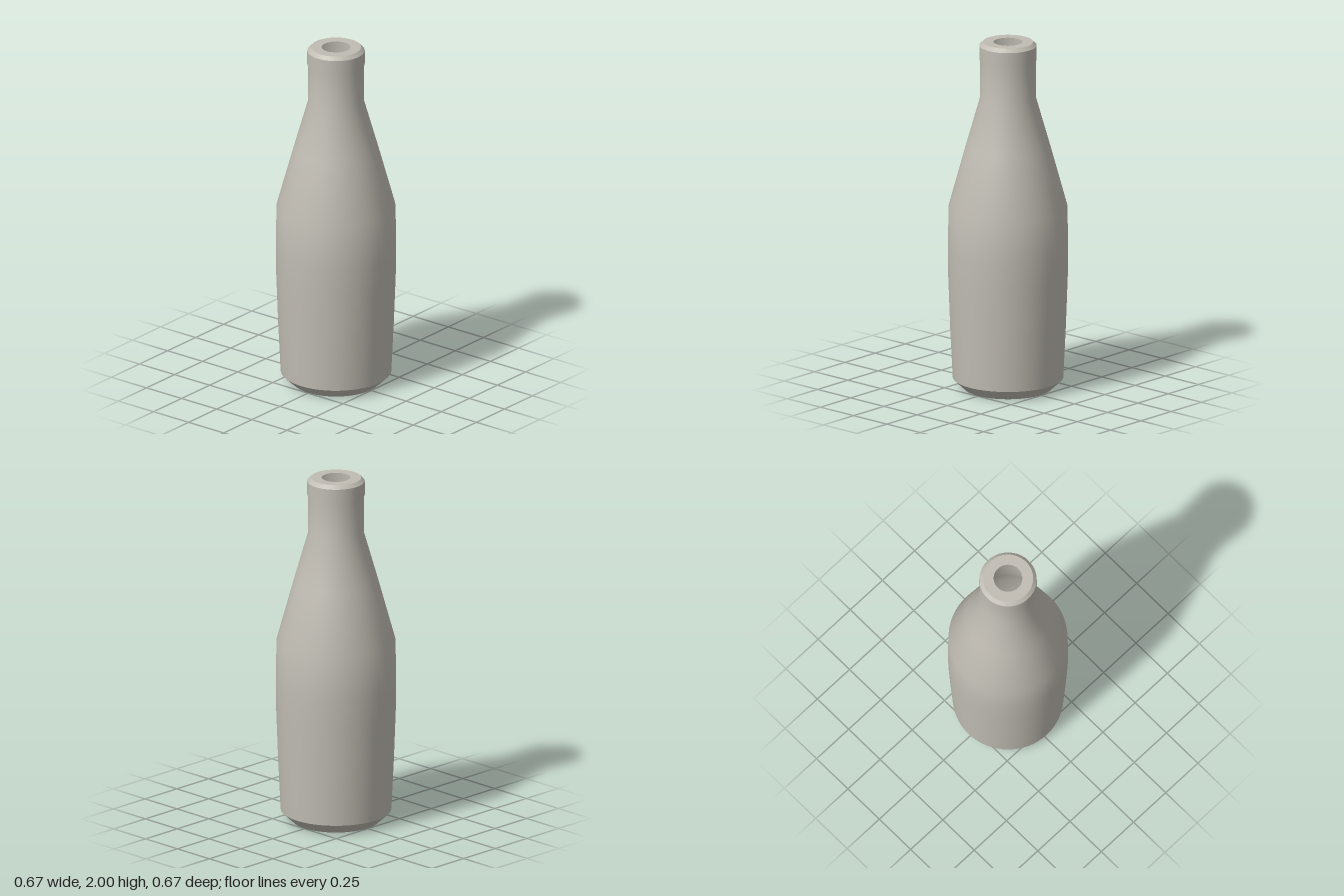
import * as THREE from 'three';

export function createModel() {
  const model = new THREE.Group();
  model.name = 'bottle';
  const warmGrey = new THREE.MeshStandardMaterial({ color: 0xc0bcb3, side: THREE.DoubleSide });
  warmGrey.name = 'warm grey';

  // Each smooth band is its own lathe, so the edges between bands stay sharp
  function band(name, profile) {
    const points = profile.map(([r, y]) => new THREE.Vector2(r, y));
    const mesh = new THREE.Mesh(new THREE.LatheGeometry(points, 64), warmGrey);
    mesh.name = name;
    model.add(mesh);
  }

  // Open, bevelled foot
  band('baseBevel', [[0.245, 0], [0.308, 0.06]]);

  // Belly, shoulder and neck in one smooth surface
  band('body', [
    [0.308, 0.06], [0.322, 0.35], [0.333, 0.65], [0.335, 0.8], [0.331, 1.05],
    [0.235, 1.4], [0.155, 1.68], [0.155, 1.9],
  ]);

  // Lip with a chamfered, open mouth
  band('lipUnderside', [[0.155, 1.9], [0.16, 1.9]]);
  band('lipSide', [[0.16, 1.9], [0.16, 1.98]]);
  band('lipChamfer', [[0.16, 1.98], [0.14, 2]]);
  band('mouthRim', [[0.14, 2], [0.08, 2]]);

  return model;
}
